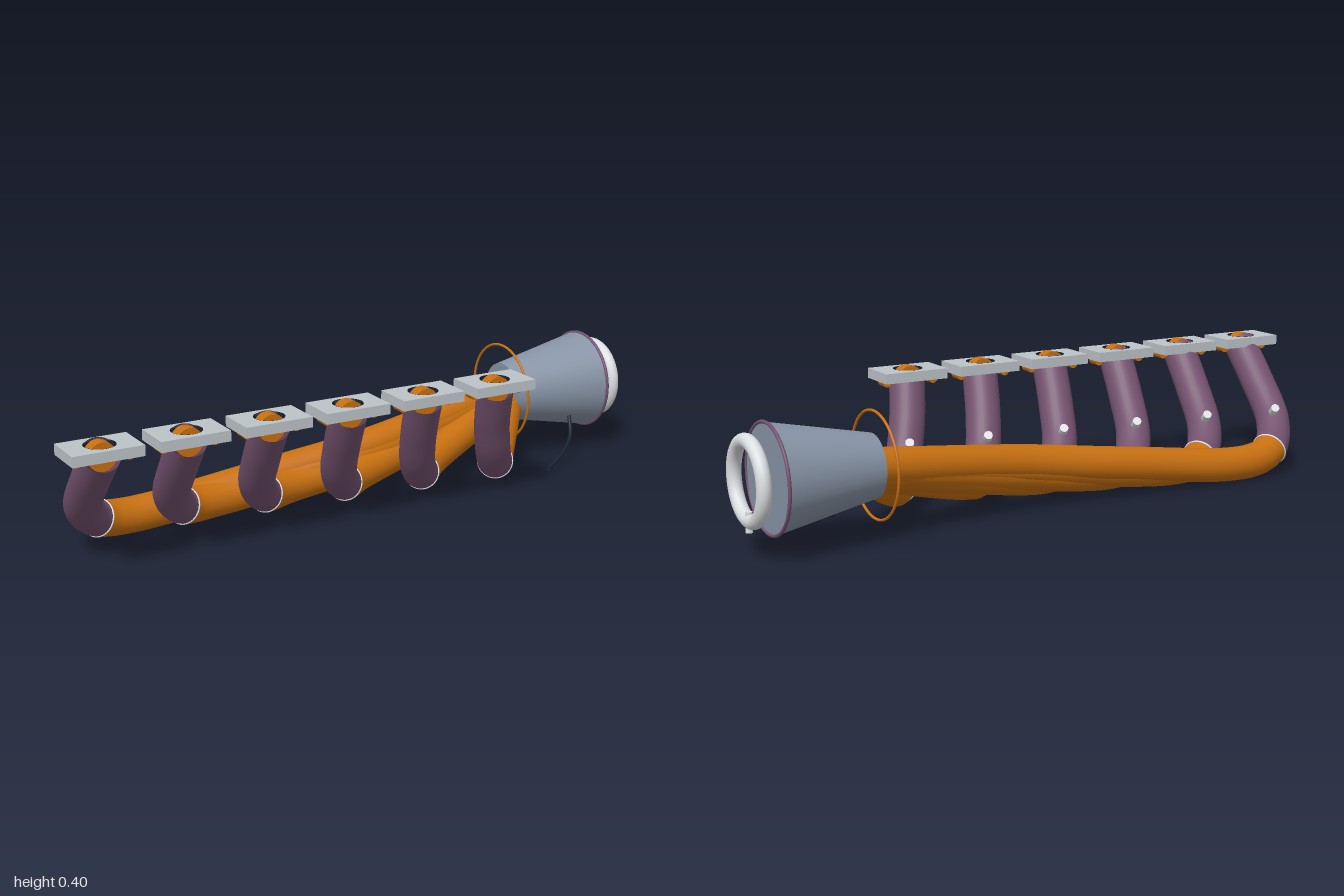
import * as THREE from 'three';

const mat = (color, side = THREE.FrontSide) => new THREE.MeshStandardMaterial({ color, side });
const V = (x, y, z) => new THREE.Vector3(x, y, z);

export function createModel() {
  const model = new THREE.Group();
  const orange = mat(0xc87010, THREE.DoubleSide);
  const purple = mat(0x74526f, THREE.DoubleSide);
  const steel = mat(0x8794a6);
  const white = mat(0xdcdfe2);
  const plate = mat(0xbcc4c8);
  const dark = mat(0x1a2230, THREE.DoubleSide);

  function add(parent, name, geometry, material, x = 0, y = 0, z = 0) {
    const mesh = new THREE.Mesh(geometry, material);
    mesh.name = name;
    mesh.position.set(x, y, z);
    parent.add(mesh);
    return mesh;
  }
  // Tube along the stretch of a curve between parameters a and b
  function pipe(parent, name, curve, a, b, radius, material) {
    const pts = [];
    for (let i = 0; i <= 16; i++) pts.push(curve.getPoint(a + (b - a) * i / 16));
    return add(parent, name, new THREE.TubeGeometry(new THREE.CatmullRomCurve3(pts), 48, radius, 28), material);
  }
  // Cylinder whose axis follows a given direction
  function rod(parent, name, r, length, dir, material, x, y, z) {
    const m = add(parent, name, new THREE.CylinderGeometry(r, r, length, 28), material, x, y, z);
    m.quaternion.setFromUnitVectors(V(0, 1, 0), dir.clone().normalize());
    return m;
  }

  // Flange plate with a round port
  const outline = new THREE.Shape([[-0.1, -0.0635], [0.1, -0.0635], [0.1, 0.0635], [-0.1, 0.0635]]
    .map(([x, y]) => new THREE.Vector2(x, y)));
  outline.holes.push(new THREE.Path().absarc(0, 0, 0.044, 0, Math.PI * 2, true));
  const flangeGeo = new THREE.ExtrudeGeometry(outline, { depth: 0.03, bevelEnabled: false, curveSegments: 32 });
  flangeGeo.rotateX(-Math.PI / 2);

  // Pipe routes for the first and last runner, as [x from flange, y, z]
  const first = [[0, 0.37, 0.249], [0.005, 0.27, 0.15], [0.03, 0.15, 0.022], [0.1, 0.08, -0.055], [0.22, 0.058, -0.088]];
  const last = [[0, 0.37, 0.249], [0.03, 0.25, 0.192], [0.07, 0.142, 0.142], [0.115, 0.083, 0.09], [0.165, 0.1, 0.03]];

  for (let k = 0; k < 6; k++) {
    const t = k / 5;
    const x0 = -0.905 + 0.245 * k;
    const runner = new THREE.Group();
    runner.name = 'runner' + (k + 1);
    model.add(runner);

    // Flange, port and bolts
    add(runner, 'flange', flangeGeo, plate, x0, 0.367, 0.2435);
    add(runner, 'portLiner', new THREE.CylinderGeometry(0.044, 0.044, 0.03, 32, 1, true), dark, x0, 0.3825, 0.2435);
    add(runner, 'portFloor', new THREE.CircleGeometry(0.044, 32).rotateX(-Math.PI / 2), dark, x0, 0.369, 0.2435);
    rod(runner, 'portPlug', 0.04, 0.037, V(0, 0, 1), orange, x0, 0.367, 0.2435);
    for (const s of [-1, 1]) rod(runner, 'bolt', 0.014, 0.037, V(0, 0, 1), orange, x0 + s * 0.075, 0.362, 0.2435);

    // Downpipe and the run to the collector
    const pts = first.map((p, i) => V(...p.map((c, j) => c + (last[i][j] - c) * t + (j === 0 ? x0 : 0))));
    if (k === 0) pts.push(V(-0.25, 0.103, -0.083));
    if (k < 3) pts.push(V(0.1, 0.148 - 0.018 * k, -0.072 + 0.006 * k));
    pts.push(V(0.63, 0.217 - 0.005 * k, -0.157 + 0.004 * k));
    const curve = new THREE.CatmullRomCurve3(pts);
    const split = 3 / (pts.length - 1);
    pipe(runner, 'downPipe', curve, 0, split, 0.053, purple);
    pipe(runner, 'runnerPipe', curve, split, 1, 0.0525, orange);

    // Weld ring at the joint and sensor boss on the back of the bend
    const joint = curve.getPoint(split);
    const weld = add(runner, 'weldRing', new THREE.TorusGeometry(0.053, 0.003, 10, 36), white, joint.x, joint.y, joint.z);
    weld.quaternion.setFromUnitVectors(V(0, 0, 1), curve.getTangent(split).normalize());
    rod(runner, 'sensorBoss', 0.013, 0.034, V(0.3, 0.55, -0.75), white,
      x0 + 0.063, 0.197, -0.026 + 0.137 * t);
  }

  // Collector cone with its rings, axis along x
  const cy = 0.217, cz = -0.148;
  const cone = add(model, 'collectorCone', new THREE.CylinderGeometry(0.152, 0.09, 0.305, 48), steel, 0.772, cy, cz);
  cone.rotation.z = -Math.PI / 2;
  const ring = (name, r, tube, material, x) => {
    add(model, name, new THREE.TorusGeometry(r, tube, 16, 64), material, x, cy, cz).rotation.y = Math.PI / 2;
  };
  ring('inletRing', 0.151, 0.004, orange, 0.615);
  ring('outletRing', 0.152, 0.005, purple, 0.924);
  ring('outletClamp', 0.108, 0.0205, white, 0.977);
  rod(model, 'clampScrew', 0.01, 0.057, V(0, 1, 0), white, 0.98, 0.107, cz);

  // Sensor lead hanging from the cone
  const lead = new THREE.CatmullRomCurve3([V(0.635, 0.024, 0.095), V(0.72, 0.044, 0.047),
    V(0.79, 0.078, -0.005), V(0.82, 0.13, -0.055)]);
  add(model, 'sensorLead', new THREE.TubeGeometry(lead, 32, 0.006, 10), dark);

  return model;
}
